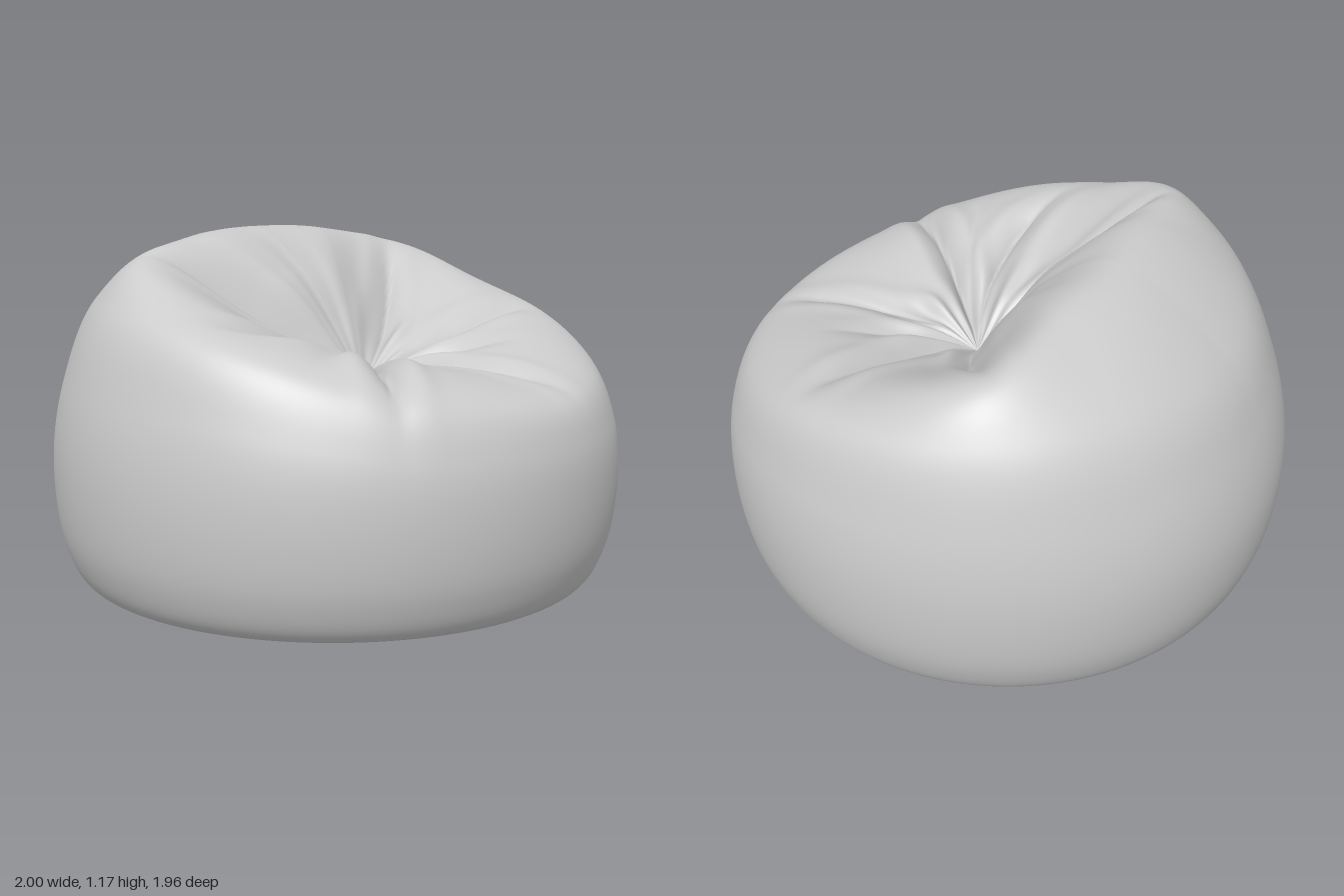
import * as THREE from 'three';

const SEG = 260, ROWS = 130;
const TOP = new THREE.Vector2(0, 0.12);         // gathered point on the seat (x, z)
const BASE = new THREE.Vector2(-0.03, -0.25);   // gathered point underneath (x, z)

// Profiles from the seat pinch outwards and down, at six angles from front to back.
// Each pair is [fraction of the way to the outline, height].
const KEYS = [
  [[0, 0.66], [0.12, 0.72], [0.33, 0.75], [0.67, 0.745], [0.91, 0.675], [0.98, 0.55], [1, 0.37]],
  [[0, 0.66], [0.12, 0.73], [0.35, 0.79], [0.66, 0.825], [0.89, 0.74], [0.975, 0.58], [1, 0.39]],
  [[0, 0.66], [0.12, 0.74], [0.35, 0.83], [0.66, 0.925], [0.86, 0.89], [0.96, 0.68], [1, 0.43]],
  [[0, 0.66], [0.12, 0.76], [0.38, 0.91], [0.73, 1.09], [0.87, 0.96], [0.965, 0.70], [1, 0.43]],
  [[0, 0.66], [0.10, 0.81], [0.27, 1.02], [0.52, 1.165], [0.83, 0.97], [0.95, 0.71], [1, 0.43]],
  [[0, 0.66], [0.10, 0.83], [0.25, 1.04], [0.47, 1.18], [0.825, 0.94], [0.94, 0.71], [1, 0.42]],
];
const UNDER = [[0.97, 0.15], [0.90, 0.025], [0.78, 0.012], [0.5, 0.05], [0.2, 0.15], [0, 0.25]];
const ANGLES = [0, 39, 78, 113, 144, 180];
const columns = KEYS[0].map((_, j) =>
  new THREE.SplineCurve(KEYS.map(k => new THREE.Vector2(...k[j]))));

// Smooth profile curve at an angle in radians (0 = front)
function profileAt(angle) {
  const deg = Math.abs(THREE.MathUtils.radToDeg(angle));
  let k = 0;
  while (k < 4 && deg > ANGLES[k + 1]) k++;
  const u = Math.min(1, (k + (deg - ANGLES[k]) / (ANGLES[k + 1] - ANGLES[k])) / 5);
  const pts = columns.map(c => c.getPoint(u));
  for (const p of UNDER) pts.push(new THREE.Vector2(...p));
  return new THREE.CatmullRomCurve3(pts.map(p => new THREE.Vector3(p.x, p.y, 0)));
}

// Creases: end x, end z, sideways bend, depth, width
const SEAT_FOLDS = [
  [-0.64, -0.34, 0.0, 0.045, 0.035],
  [0.67, -0.33, 0.05, 0.045, 0.035],
  [-0.78, 0.13, -0.1, 0.055, 0.045],
  [-0.64, 0.82, 0.03, 0.075, 0.045],
  [0.78, 0.33, 0.02, 0.055, 0.045],
  [0.14, 0.95, 0.02, 0.035, 0.04],
  [0.36, 0.55, 0, 0.02, 0.04],
  [-0.75, 0.5, -0.04, 0.02, 0.05],
];
const BASE_FOLDS = [
  [0.62, 0.72, 0.06, 0.08, 0.06],
  [0.0, 0.82, -0.06, 0.07, 0.06],
  [-0.58, 0.55, 0.05, 0.07, 0.06],
  [-0.68, -0.38, 0.03, 0.07, 0.05],
  [-0.16, -0.8, -0.03, 0.06, 0.05],
  [0.86, 0.1, 0.06, 0.08, 0.06],
  [0.55, -0.6, -0.05, 0.06, 0.05],
];

// Depth of all the creases at a point: a sharp valley between soft ridges
function foldDepth(folds, centre, x, z) {
  let sum = 0;
  for (const [ex, ez, bend, depth, width] of folds) {
    const dx = ex - centre.x, dz = ez - centre.y, len = Math.hypot(dx, dz);
    const px = x - centre.x, pz = z - centre.y;
    const s = (px * dx + pz * dz) / (len * len);
    if (s <= 0 || s >= 1) continue;
    const side = (px * -dz + pz * dx) / len - bend * 4 * s * (1 - s);
    const u = Math.abs(side) / width;
    const fade = THREE.MathUtils.smoothstep(s, 0, 0.3) * (1 - THREE.MathUtils.smoothstep(s, 0.6, 1));
    sum += depth * fade * (Math.exp(-u * 1.2) - 0.25 * Math.exp(-((u - 2) ** 2)));
  }
  return sum;
}

function bagGeometry() {
  const pos = [], index = [];
  const wall = 0.5;                 // where the profile reaches its widest point
  for (let i = 0; i < SEG; i++) {
    const a = (i / SEG) * Math.PI * 2;
    const curve = profileAt(a > Math.PI ? a - Math.PI * 2 : a);
    // the outline is slightly longer along one diagonal
    const skew = 1 - 0.018 * Math.sin(2 * a);
    const ox = skew * Math.sin(a), oz = 0.98 * skew * Math.cos(a);
    const gather = 0.002 + 0.008 * THREE.MathUtils.smoothstep(Math.cos(a), -0.5, 0.3);
    for (let j = 0; j <= ROWS; j++) {
      const t = j / ROWS, p = curve.getPoint(t);
      const f = Math.max(p.x, 0.004);
      // the rows converge on the seat pinch above and on the base pinch below
      const blend = t < wall ? 0 : THREE.MathUtils.smoothstep(t, 0.66, 0.9);
      const centreX = t < wall ? TOP.x : BASE.x * blend;
      const centreZ = t < wall ? TOP.y : BASE.y * blend;
      const x = centreX + (ox - centreX) * f, z = centreZ + (oz - centreZ) * f;
      let y = p.y;
      if (t < wall) {
        // long seat creases and fine gathers around the pinch
        y -= foldDepth(SEAT_FOLDS, TOP, x, z);
        y += gather * Math.sin(a * 17 + Math.sin(a * 3)) * Math.sin(Math.PI * Math.min(1, f / 0.4));
      } else if (t > 8 / 12) {
        y += foldDepth(BASE_FOLDS, BASE, x, z);
        y += 0.012 * Math.sin(a * 13 + Math.sin(a * 2)) * Math.sin(Math.PI * Math.min(1, f / 0.6));
      }
      pos.push(x, Math.max(0, y), z);
    }
  }
  const row = ROWS + 1;
  for (let i = 0; i < SEG; i++) {
    const n = (i + 1) % SEG;
    for (let j = 0; j < ROWS; j++) {
      const p = i * row + j, q = n * row + j;
      index.push(p, p + 1, q, q, p + 1, q + 1);
    }
  }
  const g = new THREE.BufferGeometry();
  g.setAttribute('position', new THREE.Float32BufferAttribute(pos, 3));
  g.setIndex(index);
  g.computeVertexNormals();
  return g;
}

export function createModel() {
  const group = new THREE.Group();
  group.name = 'beanBagChair';
  const bag = new THREE.Mesh(bagGeometry(),
    new THREE.MeshStandardMaterial({ color: 0xcccccc, side: THREE.DoubleSide }));
  bag.name = 'bag';
  group.add(bag);
  return group;
}
